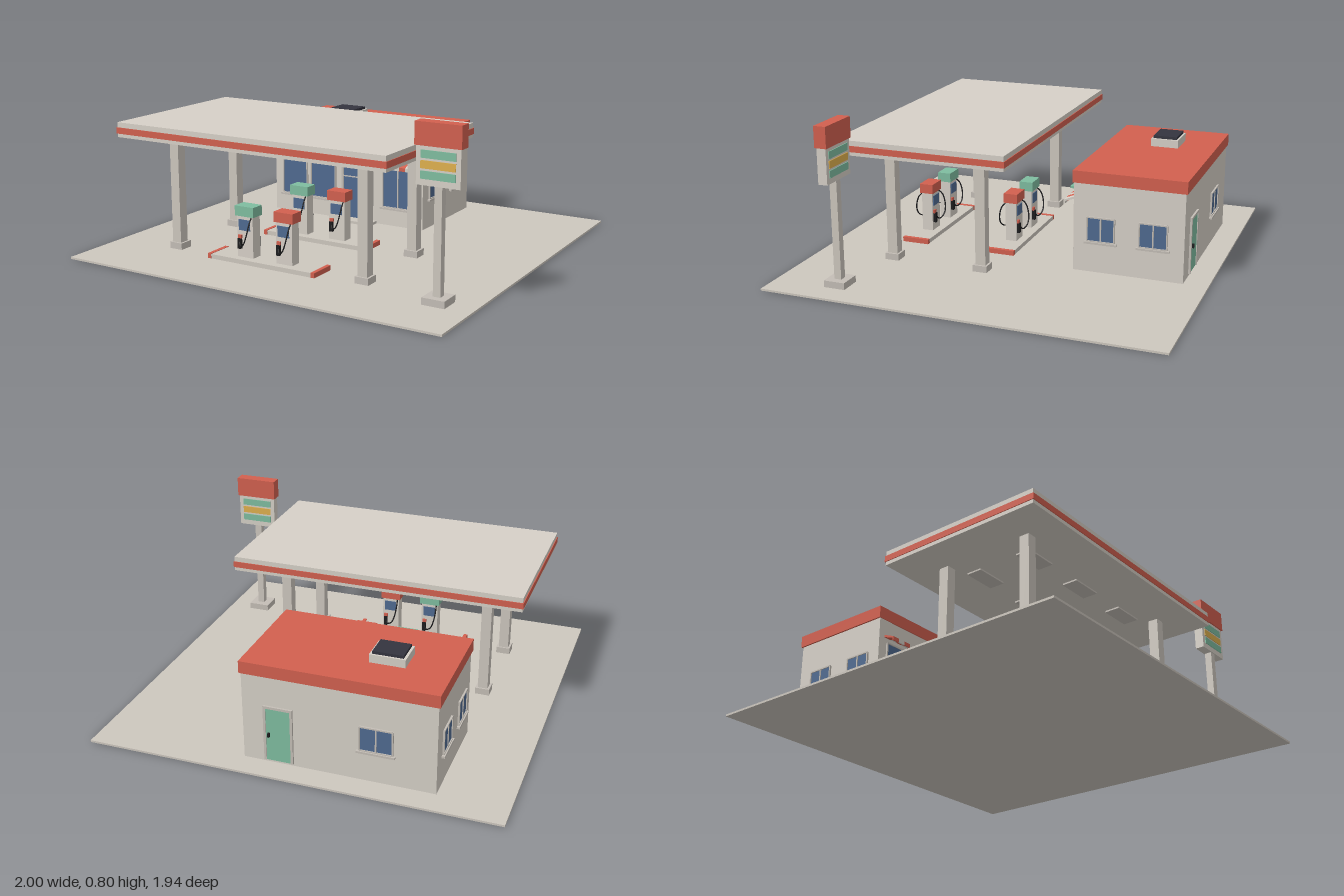
import * as THREE from 'three';

const mat = (name, color) => {
  const m = new THREE.MeshStandardMaterial({ color });
  m.name = name;
  return m;
};

export function createModel() {
  const pale = mat('off white', 0xd6d0c7);
  const concrete = mat('concrete', 0xcdc7be);
  const trim = mat('trim', 0xc4beb6);
  const red = mat('red', 0xd2604f);
  const green = mat('green', 0x7fbda0);
  const glass = mat('glass blue', 0x4f6a90);
  const yellow = mat('yellow', 0xdfb04e);
  const dark = mat('dark grey', 0x34343f);
  const black = mat('black', 0x1c1c1e);

  const root = new THREE.Group();
  const group = (name, parent = root, x = 0, y = 0, z = 0, ry = 0) => {
    const g = new THREE.Group();
    g.name = name;
    g.position.set(x, y, z);
    g.rotation.y = ry;
    parent.add(g);
    return g;
  };
  // Box given by its min and max on each axis
  const box = (parent, name, m, x0, x1, y0, y1, z0, z1) => {
    const mesh = new THREE.Mesh(new THREE.BoxGeometry(x1 - x0, y1 - y0, z1 - z0), m);
    mesh.position.set((x0 + x1) / 2, (y0 + y1) / 2, (z0 + z1) / 2);
    mesh.name = name;
    parent.add(mesh);
    return mesh;
  };

  // Forecourt slab
  box(root, 'ground', concrete, -1, 1, 0, 0.01, -0.972, 0.972);

  // Shop shell and roof
  const shop = group('shop');
  box(shop, 'walls', pale, -0.665, 0.255, 0.01, 0.455, -0.852, -0.308);
  box(shop, 'roof', red, -0.673, 0.262, 0.452, 0.512, -0.86, -0.303);
  box(shop, 'roofUnit', pale, -0.46, -0.29, 0.512, 0.552, -0.677, -0.537);
  box(shop, 'roofUnitLid', dark, -0.448, -0.302, 0.552, 0.566, -0.667, -0.547);

  // Window facing +z: panes, frame bars and sill
  const addWindow = (x, y, z, ry, w, h, panes = 2) => {
    const g = group('window', shop, x, y, z, ry);
    const f = 0.007;
    box(g, 'pane', glass, -w / 2, w / 2, -h / 2, h / 2, 0, 0.004);
    for (const s of [-1, 1]) {
      box(g, 'frameSide', trim, s * w / 2 - f / 2, s * w / 2 + f / 2, -h / 2, h / 2, 0, 0.009);
      box(g, 'frameBar', trim, -w / 2, w / 2, s * h / 2 - f / 2, s * h / 2 + f / 2, 0, 0.009);
    }
    for (let i = 1; i < panes; i++) {
      const mx = -w / 2 + (i * w) / panes;
      box(g, 'mullion', trim, mx - f / 2, mx + f / 2, -h / 2, h / 2, 0, 0.008);
    }
    box(g, 'sill', trim, -w / 2 - 0.013, w / 2 + 0.013, -h / 2 - 0.012, -h / 2 - 0.002, 0, 0.015);
  };
  const front = -0.308, back = -0.852;
  addWindow(-0.535, 0.222, front, 0, 0.155, 0.225, 1);
  addWindow(-0.352, 0.222, front, 0, 0.155, 0.225, 1);
  addWindow(0.11, 0.222, front, 0, 0.18, 0.225);
  for (const z of [-0.445, -0.702]) {
    addWindow(0.255, 0.227, z, Math.PI / 2, 0.135, 0.12);
    addWindow(-0.665, 0.227, z, -Math.PI / 2, 0.135, 0.12);
  }
  addWindow(-0.385, 0.227, back, Math.PI, 0.155, 0.12);

  // Doors facing +z
  const addDoor = (name, x, z, ry, w, h, m, handleX) => {
    const g = group(name, shop, x, 0.022, z, ry);
    box(g, 'leaf', m, -w / 2, w / 2, 0, h, 0, 0.006);
    for (const s of [-1, 1])
      box(g, 'jamb', trim, s * w / 2 - 0.006, s * w / 2 + 0.006, 0, h, 0, 0.01);
    box(g, 'lintel', trim, -w / 2 - 0.006, w / 2 + 0.006, h, h + 0.012, 0, 0.01);
    box(g, 'handle', black, handleX - 0.005, handleX + 0.005, 0.125, 0.145, 0, 0.018);
    return g;
  };
  const entry = addDoor('frontDoor', -0.14, front, 0, 0.175, 0.285, glass, 0.06);
  box(entry, 'doorRail', trim, -0.0875, 0.0875, 0.225, 0.232, 0, 0.008);
  addDoor('backDoor', 0.08, back, Math.PI, 0.13, 0.27, green, -0.045);
  box(shop, 'doorstep', concrete, -0.26, -0.02, 0.01, 0.024, front, -0.235);
  box(shop, 'doorCanopy', green, -0.262, -0.018, 0.33, 0.341, front, -0.198);

  // Striped sloping awnings: one wedge for each stripe
  const addAwning = (x0, x1, count) => {
    const g = group('awning', shop);
    const w = (x1 - x0) / count;
    const section = new THREE.Shape([
      new THREE.Vector2(0, 0.372), new THREE.Vector2(0, 0.36),
      new THREE.Vector2(0.056, 0.34), new THREE.Vector2(0.056, 0.328),
      new THREE.Vector2(0.062, 0.328), new THREE.Vector2(0.062, 0.347),
    ]);
    for (let i = 0; i < count; i++) {
      const geo = new THREE.ExtrudeGeometry(section, { depth: w, bevelEnabled: false });
      geo.rotateY(-Math.PI / 2); // profile x becomes z, extrusion runs to -x
      const stripe = new THREE.Mesh(geo, i % 2 ? pale : red);
      stripe.position.set(x0 + (i + 1) * w, 0, front);
      stripe.name = 'awningStripe';
      g.add(stripe);
    }
  };
  addAwning(-0.632, -0.253, 10);
  addAwning(-0.003, 0.219, 6);

  // Pump canopy with red band, lights and columns
  const canopy = group('canopy');
  box(canopy, 'canopySlab', pale, -0.852, 0.626, 0.582, 0.655, -0.099, 0.763);
  box(canopy, 'canopyBand', red, -0.856, 0.63, 0.6, 0.63, -0.103, 0.767);
  for (const z of [0.1, 0.572]) {
    for (const x of [-0.475, -0.115, 0.245])
      box(canopy, 'lightPanel', trim, x - 0.085, x + 0.085, 0.574, 0.582, z + 0.045, z + 0.125)
        .position.z = z < 0.3 ? 0.19 : 0.48;
    for (const x of [-0.645, 0.418]) {
      box(canopy, 'column', concrete, x - 0.025, x + 0.025, 0.01, 0.582, z - 0.026, z + 0.026);
      box(canopy, 'columnBase', trim, x - 0.036, x + 0.036, 0.01, 0.043, z - 0.036, z + 0.036);
    }
  }

  // Fuel pumps with a screen, nozzle and hose on both faces
  const hosePath = new THREE.CatmullRomCurve3([
    [0.036, 0.235, 0.025], [0.04, 0.21, 0.05], [0.033, 0.15, 0.068],
    [0.015, 0.108, 0.066], [-0.012, 0.092, 0.052], [-0.028, 0.115, 0.038],
  ].map((p) => new THREE.Vector3(...p)));
  const addPump = (parent, x, z, m) => {
    const pump = group('pump', parent, x, 0, z);
    box(pump, 'pumpBody', pale, -0.045, 0.045, 0.03, 0.235, -0.029, 0.029);
    box(pump, 'pumpHead', m, -0.053, 0.053, 0.235, 0.284, -0.036, 0.036);
    for (const ry of [0, Math.PI]) {
      const side = group('pumpFace', pump, 0, 0, 0, ry);
      box(side, 'screen', glass, -0.034, 0.03, 0.165, 0.218, 0.029, 0.033);
      box(side, 'nozzleHolder', red, -0.037, -0.017, 0.125, 0.142, 0.029, 0.038);
      box(side, 'nozzle', black, -0.036, -0.018, 0.075, 0.126, 0.029, 0.044);
      const hose = new THREE.Mesh(new THREE.TubeGeometry(hosePath, 24, 0.0035, 6), black);
      hose.name = 'hose';
      side.add(hose);
    }
  };

  // Raised islands with red ends
  for (const z of [0.1, 0.572]) {
    const island = group('pumpIsland');
    box(island, 'islandKerb', concrete, -0.4, 0.17, 0.01, 0.032, z - 0.07, z + 0.07);
    box(island, 'islandEnd', red, -0.42, -0.4, 0.01, 0.034, z - 0.071, z + 0.071);
    box(island, 'islandEnd', red, 0.17, 0.19, 0.01, 0.034, z - 0.071, z + 0.071);
    addPump(island, -0.225, z, green);
    addPump(island, -0.003, z, red);
  }

  // Roadside price sign
  const sign = group('priceSign', root, 0.825, 0, 0.652);
  box(sign, 'signBase', trim, -0.055, 0.055, 0.01, 0.043, -0.053, 0.053);
  box(sign, 'signPole', concrete, -0.018, 0.018, 0.043, 0.53, -0.018, 0.018);
  box(sign, 'signBoard', pale, -0.104, 0.104, 0.527, 0.7, -0.023, 0.023);
  box(sign, 'signHeader', red, -0.11, 0.11, 0.698, 0.8, -0.03, 0.03);
  [green, yellow, green].forEach((m, i) => {
    const y = 0.645 - i * 0.045;
    box(sign, 'priceStripe', m, -0.082, 0.082, y, y + 0.035, 0.023, 0.027);
    box(sign, 'priceStripe', m, -0.082, 0.082, y, y + 0.035, -0.027, -0.023);
  });

  return root;
}
